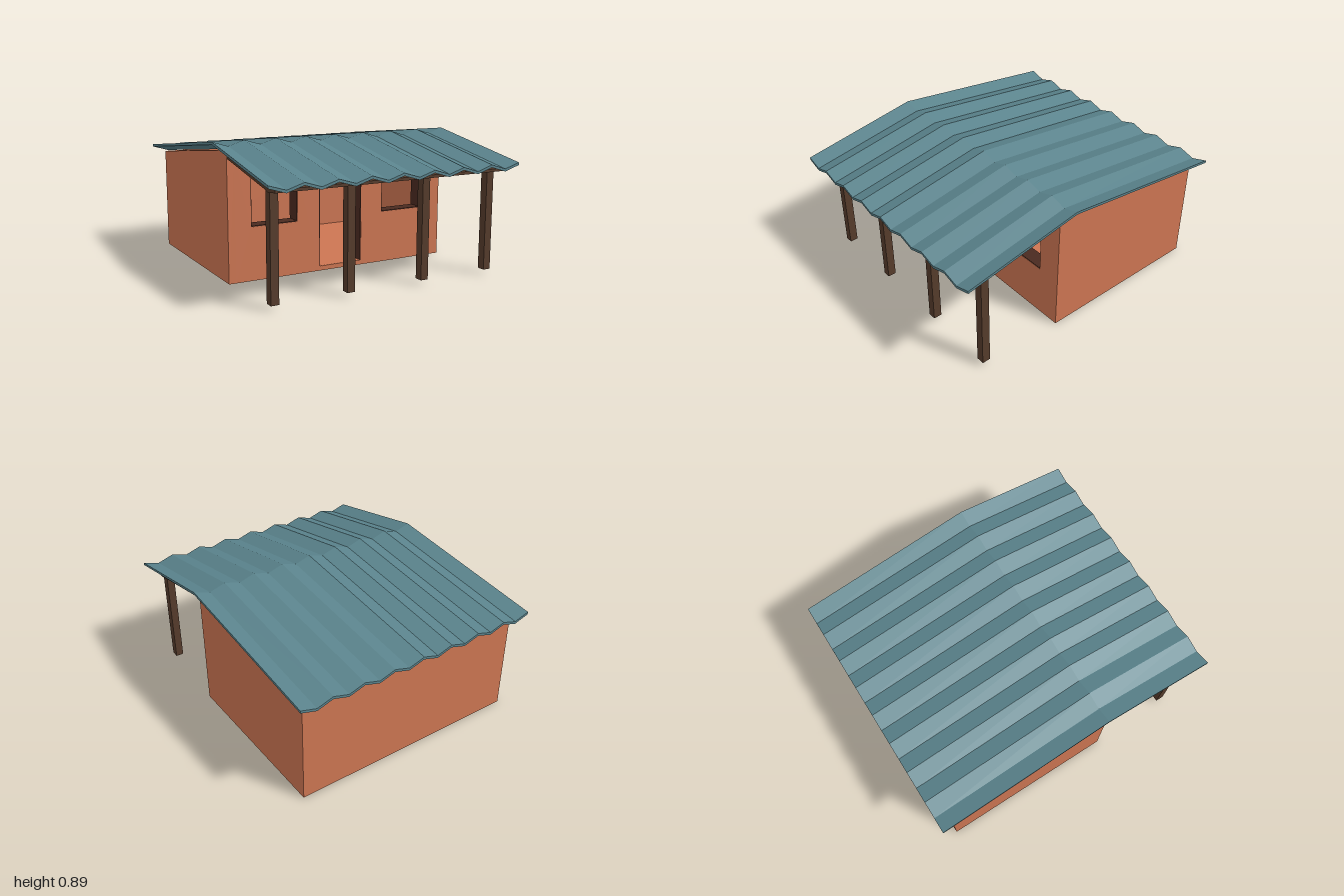
import * as THREE from 'three';

const material = (color) => new THREE.MeshStandardMaterial({ color, flatShading: true, side: THREE.DoubleSide });

export function createModel() {
  const model = new THREE.Group();
  const clay = material(0xcc7552);
  const wood = material(0x553b2b);
  const darkWood = material(0x4a2a20);
  const tin = material(0x5a838c);

  const add = (name, geometry, mat, parent = model) => {
    const mesh = new THREE.Mesh(geometry, mat);
    mesh.name = name;
    parent.add(mesh);
    return mesh;
  };
  // Box given by its lower and upper corners
  const box = (name, [x0, y0, z0], [x1, y1, z1], mat, parent) =>
    add(name, new THREE.BoxGeometry(x1 - x0, y1 - y0, z1 - z0), mat, parent)
      .position.set((x0 + x1) / 2, (y0 + y1) / 2, (z0 + z1) / 2);
  // Side profile of [z, y] points, extruded along x from x0 to x1
  const profile = (name, points, x0, x1, mat, parent) => {
    const shape = new THREE.Shape(points.map(([z, y]) => new THREE.Vector2(-z, y)));
    const geometry = new THREE.ExtrudeGeometry(shape, { depth: x1 - x0, bevelEnabled: false });
    geometry.rotateY(Math.PI / 2).translate(x0, 0, 0);
    return add(name, geometry, mat, parent);
  };

  // Hollow house: floor, side walls with gable tops, back wall
  const house = new THREE.Group();
  house.name = 'house';
  model.add(house);
  const back = -0.915, front = 0.27, wall = 0.1;
  box('floor', [-0.75, 0, back + wall], [0.75, 0.03, front - wall], clay, house);
  const gable = [[back, 0], [front, 0], [front, 0.82], [0.2, 0.835], [back, 0.7]];
  profile('rightWall', gable, -0.8, -0.75, clay, house);
  profile('leftWall', gable, 0.75, 0.8, clay, house);
  profile('backWall', [[back, 0], [back + wall, 0], [back + wall, 0.712], [back, 0.7]], -0.75, 0.75, clay, house);

  // Front wall with a doorway and two window openings
  const rectangle = (Type, x0, y0, x1, y1) => new Type([
    new THREE.Vector2(x0, y0), new THREE.Vector2(x1, y0), new THREE.Vector2(x1, y1), new THREE.Vector2(x0, y1)]);
  const openings = [
    { name: 'rightWindow', x0: -0.645, x1: -0.32, y0: 0.35 },
    { name: 'doorway', x0: -0.16, x1: 0.16, y0: 0.03 },
    { name: 'leftWindow', x0: 0.32, x1: 0.64, y0: 0.35 },
  ];
  const top = 0.67, t = 0.005;
  const face = rectangle(THREE.Shape, -0.75, 0, 0.75, 0.82);
  for (const o of openings) face.holes.push(rectangle(THREE.Path, o.x0, o.y0, o.x1, top));
  const frontWall = new THREE.ExtrudeGeometry(face, { depth: wall, bevelEnabled: false });
  add('frontWall', frontWall.translate(0, 0, front - wall), clay, house);

  // Thin linings inside the openings
  for (const { name, x0, x1, y0 } of openings) {
    const z0 = front - wall, z1 = front - 0.002;
    box(name + 'Head', [x0, top - t, z0], [x1, top, z1], darkWood, house);
    box(name + 'JambRight', [x0, y0, z0], [x0 + t, top - t, z1], darkWood, house);
    box(name + 'JambLeft', [x1 - t, y0, z0], [x1, top - t, z1], darkWood, house);
    if (y0 > 0.1) box(name + 'Sill', [x0 + t, y0, z0], [x1 - t, y0 + t, z1], darkWood, house);
    else box('threshold', [x0, 0, z0], [x1, y0 + 0.001, z1], clay, house);
  }

  // Porch ceiling with its front beam, and four posts
  profile('porchCeiling',
    [[0.95, 0.69], [0.86, 0.68], [0.8, 0.694], [front, 0.793], [front, 0.815], [0.95, 0.708]], -0.8, 0.8, wood);
  for (const x of [-0.763, -0.265, 0.265, 0.763])
    box('porchPost', [x - 0.026, 0.03, 0.8], [x + 0.026, 0.72, 0.855], wood);

  // Corrugated roof: zigzag sheet extruded along z, then bent at the ridge
  const waves = 8, half = 0.865, thickness = 0.017;
  const upper = [], lower = [];
  for (let i = 0; i <= waves * 2; i++) {
    const x = -half + (i * half) / waves;
    const y = i % 2 ? 0.857 : 0.89;
    upper.unshift(new THREE.Vector2(x, y));
    lower.push(new THREE.Vector2(x, y - thickness));
  }
  const sheet = new THREE.ExtrudeGeometry(new THREE.Shape([...lower, ...upper]),
    { depth: 2, steps: 2, bevelEnabled: false });
  const p = sheet.attributes.position;
  for (let i = 0; i < p.count; i++) {
    const z = p.getZ(i) - 1;
    const atRidge = Math.abs(z) < 0.5;
    p.setZ(i, atRidge ? 0.2 : z);
    if (!atRidge) p.setY(i, p.getY(i) - 0.145);
  }
  sheet.computeVertexNormals();
  add('corrugatedRoof', sheet, tin);

  return model;
}
